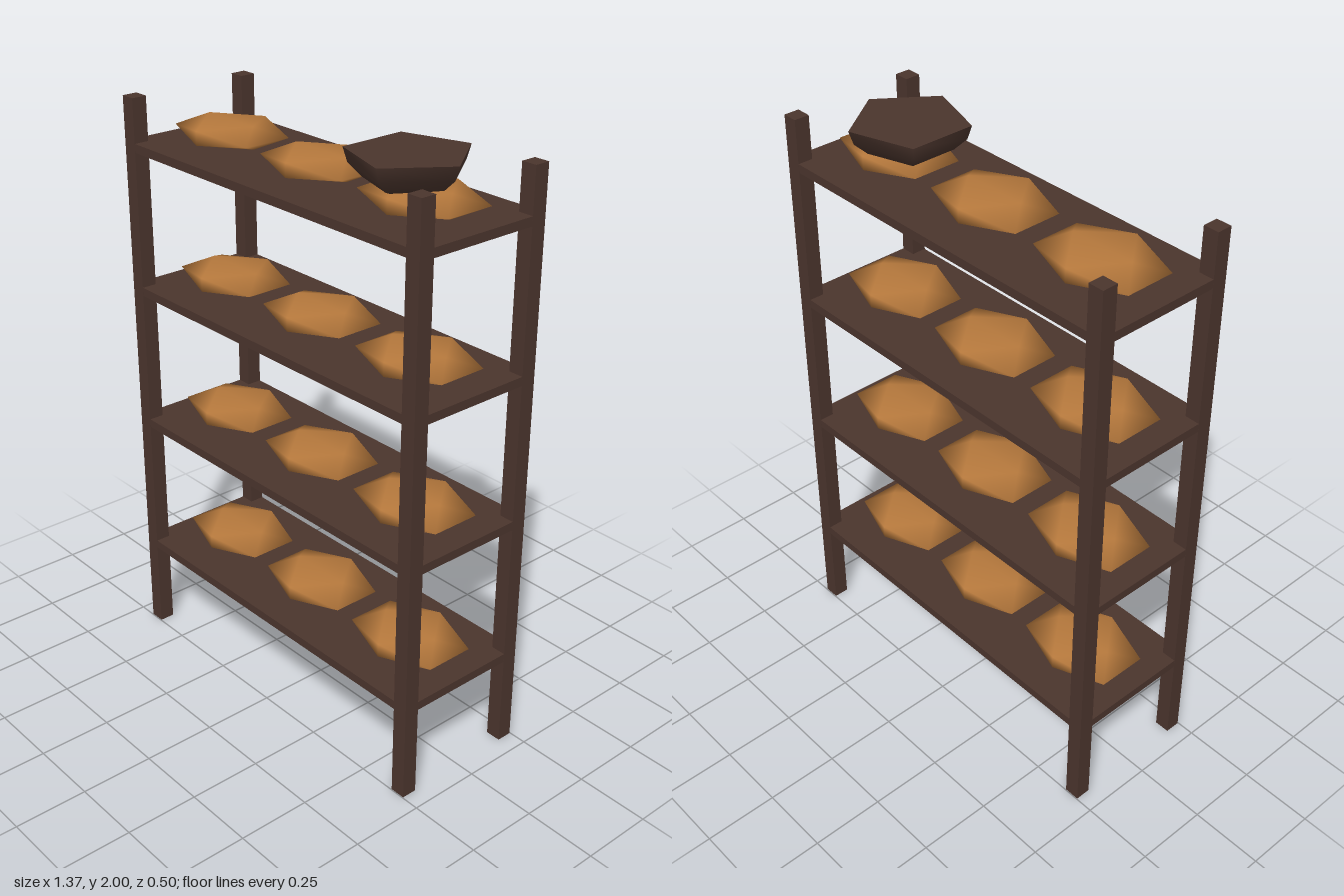
import * as THREE from 'three';
import { mergeVertices } from 'three/addons/utils/BufferGeometryUtils.js';

const SHELF_TOPS = [0.348, 0.846, 1.343, 1.841];
const LOAF_X = [-0.443, 0, 0.443];

// Squashed icosahedron with shared vertices, for soft shading
function loafGeometry() {
  const g = new THREE.IcosahedronGeometry(1, 0);
  g.deleteAttribute('normal');
  g.deleteAttribute('uv');
  const loaf = mergeVertices(g, 1e-4);
  loaf.scale(0.218, 0.044, 0.165);
  loaf.computeVertexNormals();
  return loaf;
}

export function createModel() {
  const model = new THREE.Group();
  const wood = new THREE.MeshStandardMaterial({ color: 0x4b352d });
  wood.name = 'dark wood';
  const crust = new THREE.MeshStandardMaterial({ color: 0xb5783c });
  crust.name = 'golden crust';

  const add = (parent, name, geometry, material, x, y, z) => {
    const mesh = new THREE.Mesh(geometry, material);
    mesh.name = name;
    mesh.position.set(x, y, z);
    parent.add(mesh);
    return mesh;
  };

  // Four corner posts
  const postGeo = new THREE.BoxGeometry(0.053, 1.99, 0.053);
  for (const sx of [-1, 1]) {
    for (const sz of [-1, 1]) {
      add(model, `${sz > 0 ? 'front' : 'back'}${sx > 0 ? 'Left' : 'Right'}Post`,
        postGeo, wood, sx * 0.66, 0.995, sz * 0.221);
    }
  }

  // Shelves, each with a row of three loaves
  const boardGeo = new THREE.BoxGeometry(1.372, 0.03, 0.494);
  const loafGeo = loafGeometry();
  SHELF_TOPS.forEach((top, i) => {
    const shelf = new THREE.Group();
    shelf.name = `shelf${i + 1}`;
    add(shelf, 'board', boardGeo, wood, 0, top - 0.015, 0);
    LOAF_X.forEach((x, j) => add(shelf, `loaf${j + 1}`, loafGeo, crust, x, top + 0.039, 0));
    model.add(shelf);
  });

  // Five-sided bowl with a flat closed top, resting on the last loaf
  const bowl = new THREE.Group();
  bowl.name = 'bowl';
  bowl.position.set(0.385, 2, 0);
  const R = 0.196, H = 0.12, profile = [];
  for (let i = 0; i <= 4; i++) {
    const a = (i / 4) * Math.PI / 2;
    profile.push(new THREE.Vector2(R * Math.sin(a), -H * Math.cos(a)));
  }
  add(bowl, 'bowlSide', new THREE.LatheGeometry(profile, 5, Math.PI / 2), wood, 0, 0, 0);
  add(bowl, 'bowlTop', new THREE.CircleGeometry(R, 5).rotateX(-Math.PI / 2), wood, 0, 0, 0);
  model.add(bowl);

  return model;
}
